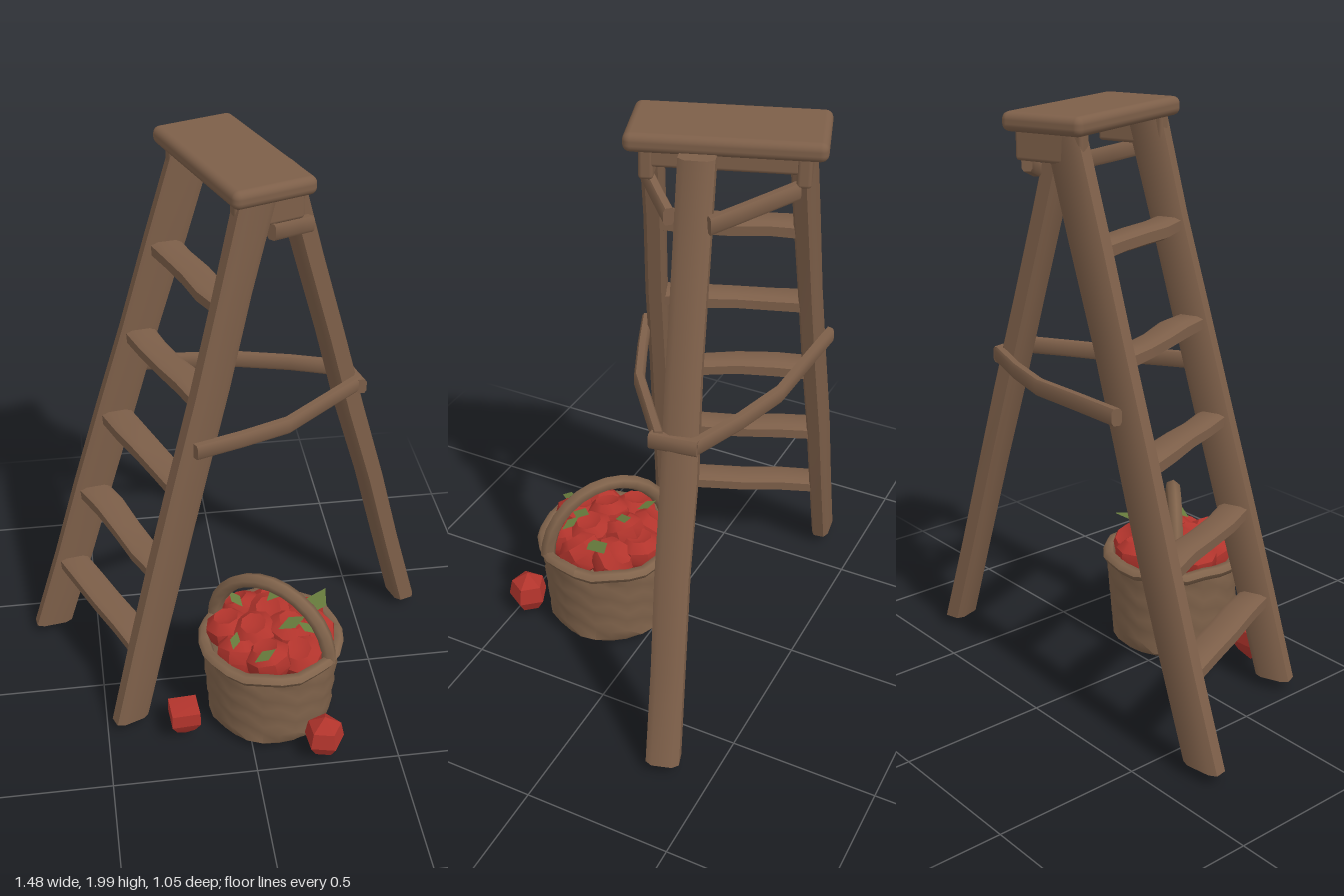
import * as THREE from 'three';
import { toCreasedNormals } from 'three/addons/utils/BufferGeometryUtils.js';
import { RoundedBoxGeometry } from 'three/addons/geometries/RoundedBoxGeometry.js';

const V = (x, y, z) => new THREE.Vector3(x, y, z);

export function createModel() {
  const model = new THREE.Group();
  const mat = (name, color, side = THREE.FrontSide) => {
    const m = new THREE.MeshStandardMaterial({ color, side });
    m.name = name;
    return m;
  };
  const wood = mat('wood', 0x7d5f49);
  const wicker = mat('wicker', 0x80634b, THREE.DoubleSide);
  const red = mat('appleRed', 0xb2342c);
  const green = mat('leafGreen', 0x667a3c, THREE.DoubleSide);

  let seed = 7;
  const rnd = () => {
    seed = (seed * 16807) % 2147483647;
    return seed / 2147483647 - 0.5;
  };
  const add = (name, geo, material, parent = model) => {
    const mesh = new THREE.Mesh(geo, material);
    mesh.name = name;
    parent.add(mesh);
    return mesh;
  };

  // Hand-hewn beam: chamfered rectangle (half axes u and v) swept along points
  function beam(name, points, u, v, steps = 4, wobble = 0.008, parent = model) {
    const path = new THREE.CurvePath();
    for (let i = 1; i < points.length; i++) path.add(new THREE.LineCurve3(points[i - 1], points[i]));
    const dir = points[points.length - 1].clone().sub(points[0]);
    if (u.clone().cross(v).dot(dir) < 0) v = v.clone().negate();
    const c = 0.62;
    const profile = [[1, -c], [1, c], [c, 1], [-c, 1], [-1, c], [-1, -c], [-c, -1], [c, -1]];
    const pos = [], index = [];
    for (let i = 0; i <= steps; i++) {
      const inner = i > 0 && i < steps ? wobble : 0;
      const p = path.getPoint(i / steps)
        .addScaledVector(u.clone().normalize(), rnd() * inner)
        .addScaledVector(v.clone().normalize(), rnd() * inner);
      const s = 1 + rnd() * wobble * 10;
      for (const [a, b] of profile) {
        pos.push(...p.clone().addScaledVector(u, a * s).addScaledVector(v, b * s).toArray());
      }
    }
    for (let i = 0; i < steps; i++) {
      for (let j = 0; j < 8; j++) {
        const a = i * 8 + j, b = i * 8 + (j + 1) % 8;
        index.push(a, b, b + 8, a, b + 8, a + 8);
      }
    }
    for (let j = 1; j < 7; j++) {
      index.push(0, j + 1, j);
      index.push(steps * 8, steps * 8 + j, steps * 8 + j + 1);
    }
    const geo = new THREE.BufferGeometry();
    geo.setAttribute('position', new THREE.Float32BufferAttribute(pos, 3));
    geo.setIndex(index);
    return add(name, toCreasedNormals(geo, 0.9), wood, parent);
  }
  const across = (angle, half) => V(Math.cos(angle) * half, 0, -Math.sin(angle) * half);
  const along = (angle, half) => V(Math.sin(angle) * half, 0, Math.cos(angle) * half);
  const UP = V(0, 0.027, 0);

  // Ladder rails and rear leg, cut level at the floor
  const nearRail = [V(-0.417, 0.05, 0.215), V(0.05, 1.95, 0.03)];
  const farRail = [V(-0.67, 0.05, -0.35), V(-0.09, 1.95, -0.405)];
  const leg = [V(0.695, 0.05, -0.335), V(0.175, 1.95, -0.185)];
  beam('nearRail', nearRail, across(0.38, 0.062), along(0.38, 0.034), 6);
  beam('farRail', farRail, across(0.15, 0.067), along(0.15, 0.032), 6);
  beam('rearLeg', leg, across(0.3, 0.04), along(0.3, 0.055), 6);

  // Steps between the rails
  const at = ([a, b], y) => a.clone().lerp(b, (y - a.y) / (b.y - a.y));
  for (const y of [0.335, 0.645, 0.96, 1.28, 1.6]) {
    beam('step', [at(farRail, y), at(nearRail, y)], UP, across(0.4, 0.05), 4, 0.012);
  }

  // Top board and the aprons under it
  const board = add('topBoard', new RoundedBoxGeometry(0.285, 0.06, 0.6, 3, 0.024), wood);
  board.position.set(0.013, 1.97, -0.21);
  board.rotation.y = 0.33;
  for (const [x, z] of [[0.09, 0.01], [-0.06, -0.43]]) {
    const apron = add('apron', new RoundedBoxGeometry(0.24, 0.1, 0.045, 2, 0.012), wood);
    apron.position.set(x, 1.9, z);
    apron.rotation.y = 0.33;
  }
  const crossbar = add('crossbar', new RoundedBoxGeometry(0.06, 0.06, 0.46, 2, 0.012), wood);
  crossbar.position.set(0.1, 1.92, -0.23);
  crossbar.rotation.y = 0.33;

  // Bent side braces and short struts under the board
  beam('nearBrace', [V(-0.16, 1.135, 0.16), V(0.15, 1.115, 0.03), V(0.45, 1.13, -0.195)],
    UP, V(0.008, 0, 0.015), 4, 0.003);
  beam('farBrace', [V(-0.36, 1.13, -0.435), V(0.1, 1.12, -0.42), V(0.43, 1.12, -0.305)],
    UP, V(-0.005, 0, 0.016), 4, 0.003);
  beam('bracePeg', [V(0.425, 1.12, -0.32), V(0.455, 1.125, -0.17)], UP, V(0.018, 0, 0), 2, 0.003);
  beam('nearStrut', [V(0.1, 1.83, 0.03), V(0.25, 1.775, -0.13)], UP, V(0.012, 0, 0.012), 3, 0.003);
  beam('farStrut', [V(0.04, 1.84, -0.45), V(0.25, 1.775, -0.26)], UP, V(-0.012, 0, 0.012), 3, 0.003);

  // Woven basket
  const basket = new THREE.Group();
  basket.name = 'basket';
  basket.position.set(0.09, 0, 0.195);
  model.add(basket);
  const profile = [[0, 0.03], [0.205, 0.03]];
  for (let i = 0; i <= 7; i++) profile.push([0.218 + i * 0.0032, 0.045 + i * 0.042]);
  const wall = new THREE.LatheGeometry(profile.map(p => new THREE.Vector2(...p)), 24);
  const wp = wall.attributes.position;
  for (let i = 0; i < wp.count; i++) {
    const row = i % profile.length, seg = Math.floor(i / profile.length) % 24;
    if (row < 2) continue;
    const k = 1 + 0.018 * ((row + (seg >> 1)) % 2 ? 1 : -1);
    wp.setXYZ(i, wp.getX(i) * k, wp.getY(i), wp.getZ(i) * k);
  }
  add('basketWall', toCreasedNormals(wall, 0.7), wicker, basket);
  const rim = new THREE.TorusGeometry(0.234, 0.022, 6, 24).rotateX(Math.PI / 2);
  const rp = rim.attributes.position;
  for (let i = 0; i < rp.count; i++) {
    const a = Math.atan2(rp.getZ(i), rp.getX(i));
    rp.setY(i, rp.getY(i) + 0.353 + 0.006 * Math.sin(a * 8));
  }
  rim.computeVertexNormals();
  add('basketRim', rim, wicker, basket);
  const arch = [];
  for (let i = 0; i <= 10; i++) {
    const a = Math.PI * i / 10, r = -Math.cos(a) * 0.232;
    arch.push(V(r * 0.78, 0.34 + 0.245 * Math.sin(a), r * 0.63));
  }
  add('basketHandle', new THREE.TubeGeometry(new THREE.CatmullRomCurve3(arch), 14, 0.026, 6), wicker, basket);

  // Apples heaped in the basket
  const appleShape = [[0, -0.075], [0.045, -0.068], [0.08, -0.015], [0.078, 0.03], [0.045, 0.06], [0, 0.045]]
    .map(p => new THREE.Vector2(...p));
  const apple = (x, y, z) => {
    const m = add('apple', toCreasedNormals(new THREE.LatheGeometry(appleShape, 8), 0.7), red, basket);
    m.position.set(x, y, z);
    m.rotation.set(rnd() * 0.9, rnd() * 6, rnd() * 0.9);
  };
  for (let i = 0; i < 8; i++) {
    const a = i * Math.PI / 4 + 0.2;
    apple(Math.cos(a) * 0.148, 0.365 + rnd() * 0.02, Math.sin(a) * 0.148);
  }
  for (let i = 0; i < 3; i++) {
    const a = i * Math.PI * 2 / 3 + 0.6;
    apple(Math.cos(a) * 0.065, 0.395, Math.sin(a) * 0.065);
  }

  // Folded leaves: [x, y, z, turn, length]
  const leaves = [
    [0.17, 0.43, -0.05, 0.9, 0.13], [0.06, 0.455, 0.075, 0.2, 0.1], [-0.05, 0.42, 0.19, 0.3, 0.08],
    [-0.14, 0.42, 0.1, 1.2, 0.06], [0.03, 0.465, -0.08, 0.6, 0.09], [0.11, 0.44, 0.09, 2.6, 0.07],
    [-0.11, 0.435, -0.1, 2.2, 0.07],
  ];
  for (const [x, y, z, turn, len] of leaves) {
    const g = new THREE.BufferGeometry();
    const l = len / 2, w = len * 0.3;
    g.setAttribute('position', new THREE.Float32BufferAttribute(
      [-l, 0, 0, 0, 0.015, w, l, 0.03, 0, -l, 0, 0, l, 0.03, 0, 0, 0.015, -w], 3));
    g.computeVertexNormals();
    const leaf = add('leaf', g, green, basket);
    leaf.position.set(x, y, z);
    leaf.rotation.y = turn;
  }

  // Faceted fallen apples
  const fallen = (pts, sides, x, z, turn) => {
    const g = new THREE.LatheGeometry(pts.map(p => new THREE.Vector2(...p)), sides);
    const m = add('fallenApple', toCreasedNormals(g, 0.3), red);
    m.position.set(x, 0, z);
    m.rotation.y = turn;
  };
  fallen([[0, 0.01], [0.045, 0.05], [0.072, 0.09], [0.07, 0.14], [0, 0.145]], 4, -0.23, 0.285, 0.85);
  fallen([[0, 0.03], [0.045, 0.045], [0.072, 0.09], [0.06, 0.15], [0, 0.19]], 5, 0.24, 0.455, 0.4);

  return model;
}
